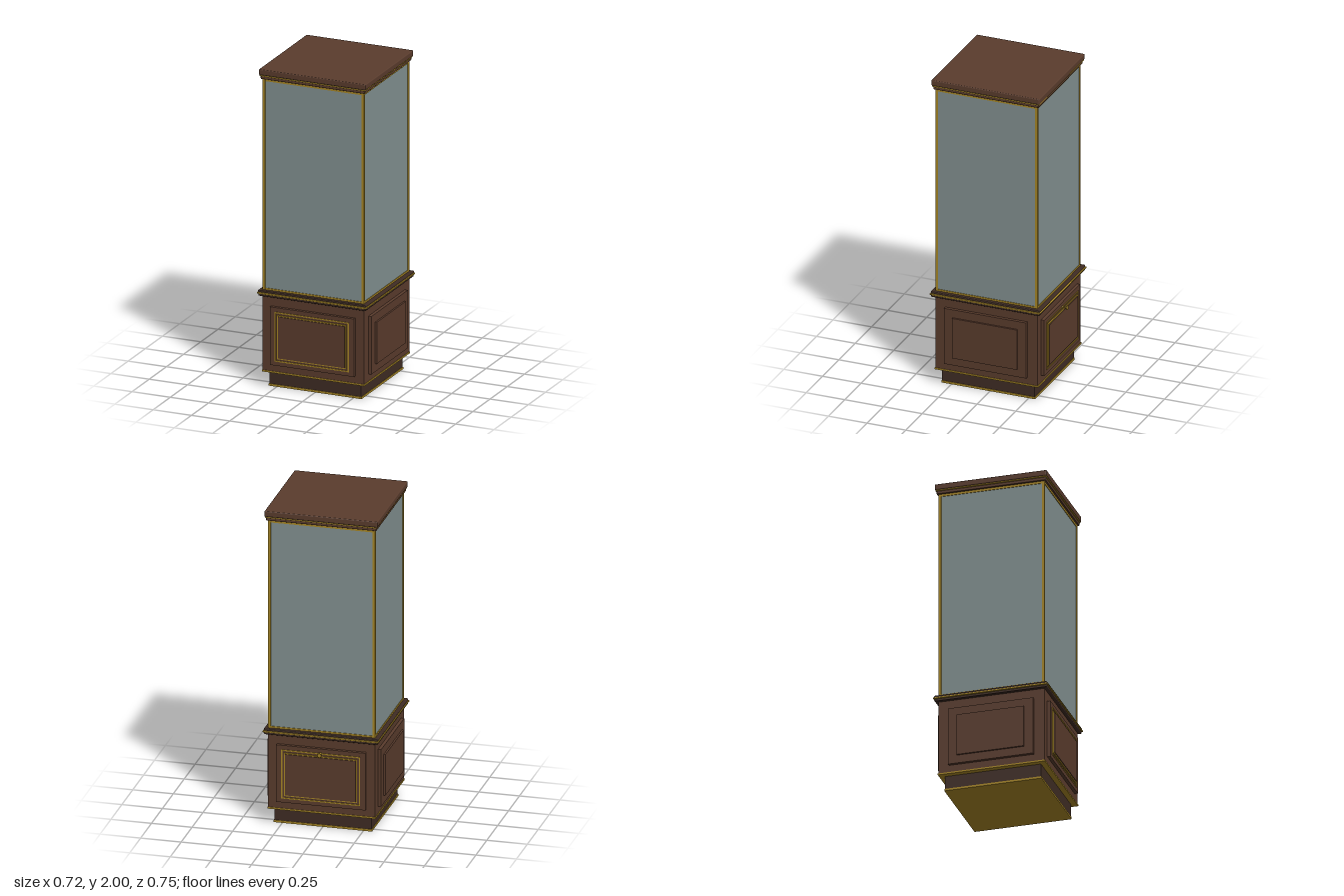
import * as THREE from 'three';
import { RoundedBoxGeometry } from 'three/addons/geometries/RoundedBoxGeometry.js';

const wood = new THREE.MeshStandardMaterial({ color: 0x5a3c2d });
const darkWood = new THREE.MeshStandardMaterial({ color: 0x3f2c24 });
const brass = new THREE.MeshStandardMaterial({ color: 0xa88726 });
const glass = new THREE.MeshStandardMaterial({ color: 0x839191 });

function add(parent, name, geometry, material, x = 0, y = 0, z = 0) {
  const mesh = new THREE.Mesh(geometry, material);
  mesh.name = name;
  mesh.position.set(x, y, z);
  parent.add(mesh);
  return mesh;
}

// Square layer of the cabinet, given by its half width and height range
function layer(parent, name, half, y0, y1, material, radius = 0) {
  const h = y1 - y0;
  const geometry = radius
    ? new RoundedBoxGeometry(half * 2, h, half * 2, 3, radius)
    : new THREE.BoxGeometry(half * 2, h, half * 2);
  return add(parent, name, geometry, material, 0, (y0 + y1) / 2, 0);
}

// Rectangular ring lying in the xy plane, extruded toward +z
function ring(w, h, border, depth) {
  const rect = (target, a, b) => {
    target.moveTo(-a, -b);
    target.lineTo(a, -b);
    target.lineTo(a, b);
    target.lineTo(-a, b);
    target.closePath();
    return target;
  };
  const shape = rect(new THREE.Shape(), w / 2, h / 2);
  shape.holes.push(rect(new THREE.Path(), w / 2 - border, h / 2 - border));
  return new THREE.ExtrudeGeometry(shape, { depth, bevelEnabled: false });
}

// Stepped panel on one side of the base
function sidePanel(name, angle, outerWidth, trimmed) {
  const panel = new THREE.Group();
  panel.name = name;
  panel.rotation.y = angle;
  add(panel, 'panelFrame', new THREE.BoxGeometry(outerWidth, 0.365, 0.03), wood, 0, 0.3325, 0.335);
  const w = trimmed ? 0.435 : 0.42;
  add(panel, 'raisedPanel', new THREE.BoxGeometry(w, 0.262, 0.03), wood, 0, 0.332, 0.346);
  if (trimmed) {
    add(panel, 'outerPanelTrim', ring(0.485, 0.312, 0.007, 0.004), brass, 0, 0.332, 0.35);
    add(panel, 'innerPanelTrim', ring(0.449, 0.276, 0.007, 0.006), brass, 0, 0.332, 0.35);
  }
  return panel;
}

export function createModel() {
  const model = new THREE.Group();
  const cabinet = new THREE.Group();
  cabinet.name = 'displayCabinet';
  cabinet.position.z = 0.012;
  model.add(cabinet);

  // Plinth and base
  layer(cabinet, 'plinthTrim', 0.303, 0, 0.013, brass);
  layer(cabinet, 'plinth', 0.299, 0.001, 0.1, darkWood);
  layer(cabinet, 'baseTrim', 0.334, 0.095, 0.105, brass);
  layer(cabinet, 'base', 0.33, 0.098, 0.58, wood);

  // Panels on the four sides
  cabinet.add(sidePanel('frontPanel', 0, 0.55, true));
  cabinet.add(sidePanel('leftPanel', Math.PI / 2, 0.53, false));
  const door = sidePanel('backDoor', Math.PI, 0.55, true);
  cabinet.add(door);
  cabinet.add(sidePanel('rightPanel', -Math.PI / 2, 0.53, false));

  // Door knob turned around the z axis
  const knobProfile = [[0, 0], [0.009, 0], [0.006, 0.004], [0.0045, 0.008], [0.0045, 0.026],
    [0.012, 0.029], [0.013, 0.032], [0.013, 0.035], [0.011, 0.037], [0, 0.037]];
  const knob = add(door, 'doorKnob',
    new THREE.LatheGeometry(knobProfile.map(([r, y]) => new THREE.Vector2(r, y)), 24),
    brass, 0, 0.485, 0.35);
  knob.rotation.x = Math.PI / 2;

  // Moulding between base and glass
  layer(cabinet, 'lowerMoulding', 0.35, 0.574, 0.591, darkWood, 0.005);
  layer(cabinet, 'mouldingTrim', 0.357, 0.588, 0.599, brass, 0.004);
  layer(cabinet, 'upperMoulding', 0.352, 0.597, 0.611, darkWood, 0.005);

  // Glass case with brass edging
  layer(cabinet, 'glassCase', 0.325, 0.608, 1.94, glass);
  for (const x of [-1, 1]) {
    for (const z of [-1, 1]) {
      add(cabinet, 'cornerPost', new THREE.BoxGeometry(0.016, 1.33, 0.016), brass,
        x * 0.322, 1.274, z * 0.322);
    }
  }
  for (const [name, y] of [['bottomRail', 0.615], ['topRail', 1.931]]) {
    for (let i = 0; i < 4; i++) {
      const a = (i * Math.PI) / 2;
      const rail = add(cabinet, name, new THREE.BoxGeometry(0.644, 0.014, 0.014), brass,
        Math.sin(a) * 0.322, y, Math.cos(a) * 0.322);
      rail.rotation.y = a;
    }
  }

  // Cap
  layer(cabinet, 'lowerCap', 0.34, 1.938, 1.96, wood, 0.004);
  layer(cabinet, 'capTrim', 0.346, 1.956, 1.966, brass, 0.004);
  layer(cabinet, 'upperCap', 0.349, 1.964, 2, wood, 0.006);

  return model;
}
